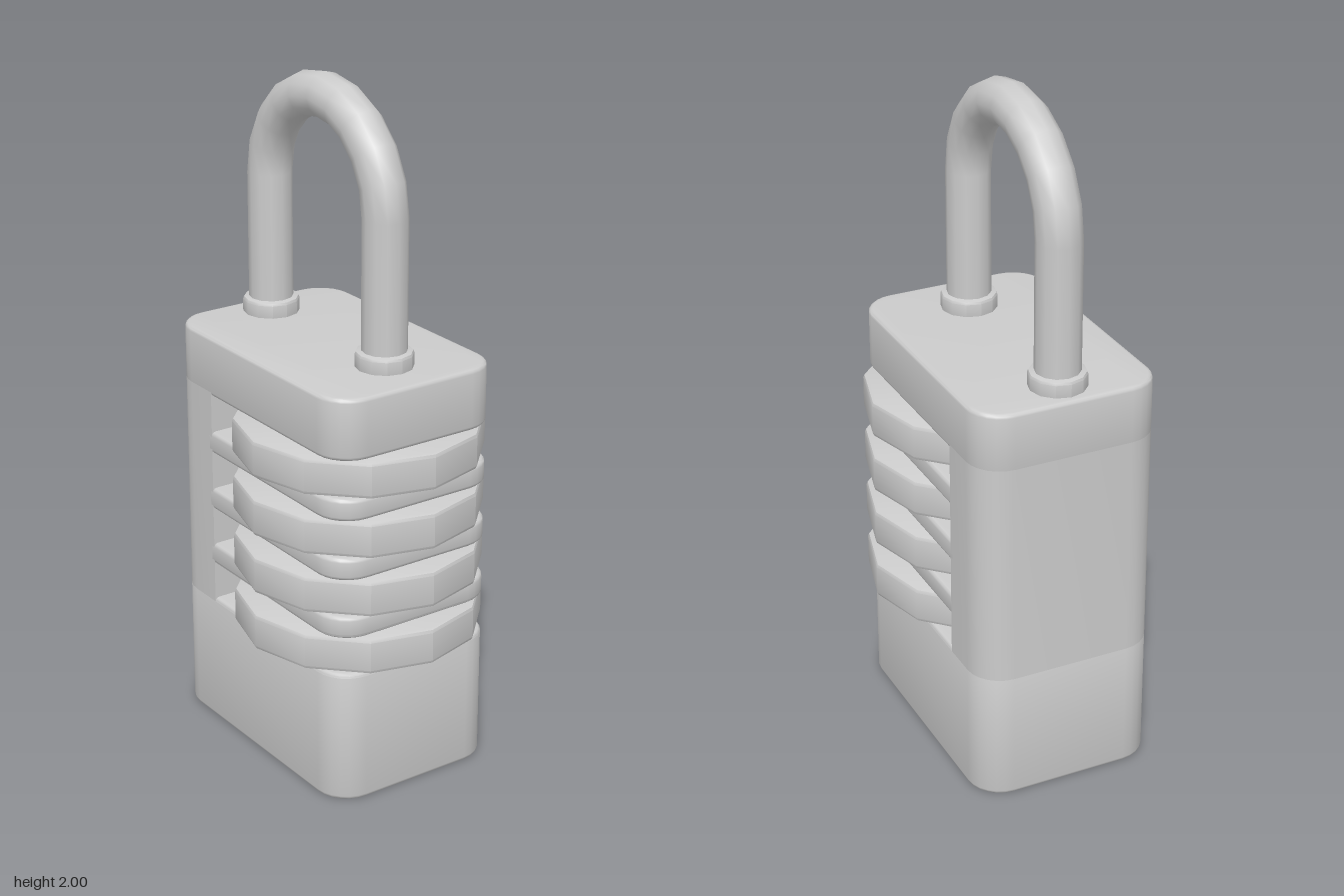
import * as THREE from 'three';
import { toCreasedNormals } from 'three/addons/utils/BufferGeometryUtils.js';

const LEFT = -0.455, RIGHT = 0.385, DEPTH = 0.277, CORNER = 0.1;
const SLOT_X = -0.25;              // inner wall of the dial slots
const BEVEL = 0.012;
const HEIGHT = 1.23;
const DIAL_H = 0.112;
const DIAL_Y = [0.46, 0.638, 0.816, 0.994];   // dial centres

// Plan outline with rounded corners on the chosen ends
function outline(x0, x1, roundLeft, roundRight) {
  const s = new THREE.Shape(), r = CORNER, d = DEPTH, H = Math.PI / 2;
  if (roundRight) {
    s.absarc(x1 - r, -d + r, r, -H, 0);
    s.absarc(x1 - r, d - r, r, 0, H);
  } else {
    s.moveTo(x1, -d);
    s.lineTo(x1, d);
  }
  if (roundLeft) {
    s.absarc(x0 + r, d - r, r, H, Math.PI);
    s.absarc(x0 + r, -d + r, r, Math.PI, 3 * H);
  } else {
    s.lineTo(x0, d);
    s.lineTo(x0, -d);
  }
  s.closePath();
  return s;
}

// Upright slab between two heights, with optionally softened rims
function slab(shape, y0, y1, bevel) {
  const g = new THREE.ExtrudeGeometry(shape, {
    depth: y1 - y0 - 2 * bevel, curveSegments: 3, bevelEnabled: bevel > 0,
    bevelSize: bevel, bevelThickness: bevel, bevelOffset: -bevel, bevelSegments: 3,
  });
  g.rotateX(-Math.PI / 2);
  g.translate(0, y0 + bevel, 0);
  return toCreasedNormals(g, 0.6);
}

// Solid disc with rounded rims, centred on its own height
function disc(radius, height, b) {
  const h = height / 2, k = b * 0.3;
  const profile = [
    [0, -h], [radius - b, -h], [radius - k, -h + k], [radius, -h + b],
    [radius, h - b], [radius - k, h - k], [radius - b, h], [0, h],
  ].map(([x, y]) => new THREE.Vector2(x, y));
  return toCreasedNormals(new THREE.LatheGeometry(profile, 12), 0.6);
}

export function createModel() {
  const model = new THREE.Group();
  model.name = 'padlock';
  const metal = new THREE.MeshStandardMaterial({ color: 0xcccccc });
  const add = (name, geometry, x = 0, y = 0, z = 0) => {
    const mesh = new THREE.Mesh(geometry, metal);
    mesh.name = name;
    mesh.position.set(x, y, z);
    model.add(mesh);
    return mesh;
  };

  // Body: solid base and cap joined by a spine, leaving slots between
  const half = DIAL_H / 2;
  const low = DIAL_Y[0] - half, high = DIAL_Y[3] + half;
  const full = outline(LEFT, RIGHT, true, true);
  add('bodyBase', slab(full, 0, low, BEVEL));
  add('bodyCap', slab(full, high, HEIGHT, BEVEL));
  add('bodySpine', slab(outline(LEFT, SLOT_X, true, false), low - BEVEL, high + BEVEL, 0));

  // Dividers between the dials
  const fin = outline(SLOT_X - BEVEL, RIGHT, false, true);
  for (let i = 0; i < 3; i++) {
    add('divider' + (i + 1), slab(fin, DIAL_Y[i] + half, DIAL_Y[i + 1] - half, BEVEL));
  }

  // Number dials
  const dial = disc(0.36, DIAL_H - 0.002, 0.012);
  DIAL_Y.forEach((y, i) => add('dial' + (i + 1), dial, 0.095, y, 0));

  // Shackle: half-ring on two straight legs, each in a collar
  const midX = -0.068, bend = 0.282, tube = 0.065, bendY = 2 - bend - tube;
  add('shackleBend', new THREE.TorusGeometry(bend, tube, 12, 10, Math.PI), midX, bendY, 0);
  const legH = bendY - HEIGHT + 0.01;
  const leg = new THREE.CylinderGeometry(tube, tube, legH, 12, 1, true);
  const collar = disc(0.083, 0.06, 0.01);
  for (const [side, s] of [['right', -1], ['left', 1]]) {
    add(side + 'ShackleLeg', leg, midX + s * bend, bendY - legH / 2, 0);
    add(side + 'Collar', collar, midX + s * bend, HEIGHT + 0.017, 0);
  }
  return model;
}
